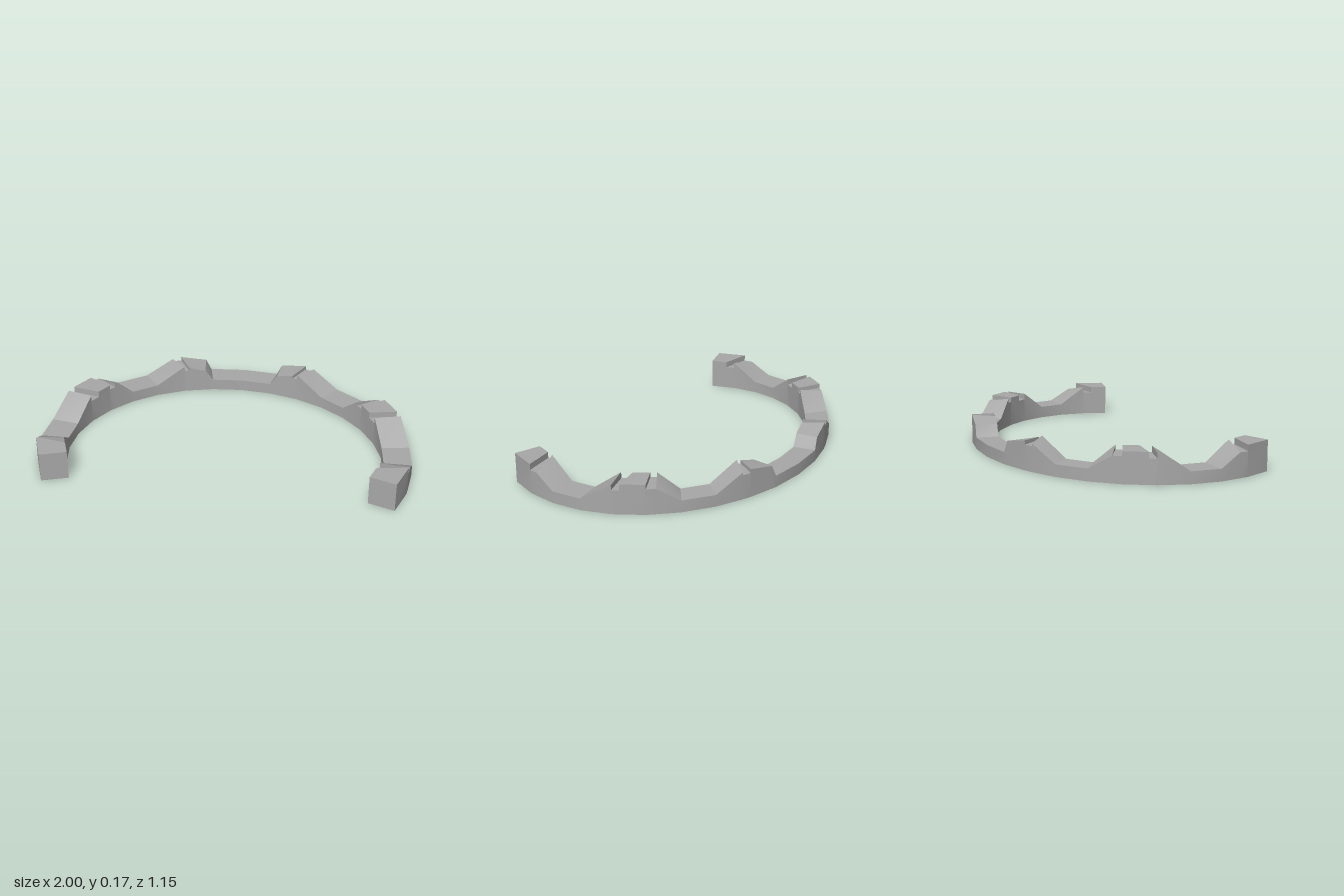
import * as THREE from 'three';
import { toCreasedNormals } from 'three/addons/utils/BufferGeometryUtils.js';

const STEP = 11.25;            // 32-sided ellipse
const CENTRE_Z = 0.258;
const OUTER = [1, 0.835], INNER = [0.85, 0.715];

// Point on the faceted ellipse at a given angle in degrees
function ringPoint([a, b], deg, y) {
  const k = Math.floor(deg / STEP + 1e-6);
  const f = deg / STEP - k;
  const at = (n) => {
    const t = THREE.MathUtils.degToRad(n * STEP);
    return new THREE.Vector3(a * Math.cos(t), y, CENTRE_Z - b * Math.sin(t));
  };
  return at(k).lerp(at(k + 1), f);
}

// Top surface of the left half, front to back: inner angle, inner height, outer angle, outer height
const half = [
  // front end block and its notch
  [-22.5, 0.165, -22.5, 0.165],
  [-15.4, 0.165, -11.4, 0.165],
  [-15.4, 0.132, -11.4, 0.132],
  [-11.7, 0.132, -7.9, 0.132],
  [-11.7, 0.165, -7.9, 0.132],
  // first dip
  [0, 0.065, 0, 0.065],
  [11.25, 0.065, 11.25, 0.065],
  // side block with a notch at each edge
  [22.5, 0.165, 22.5, 0.16],
  [22.5, 0.132, 22.5, 0.132],
  [27, 0.132, 25.2, 0.132],
  [27, 0.165, 25.2, 0.165],
  [33.75, 0.165, 33.75, 0.165],
  [33.75, 0.14, 33.75, 0.14],
  [36.3, 0.14, 37, 0.14],
  [36.3, 0.165, 37, 0.14],
  // second dip
  [45, 0.065, 45, 0.065],
  [56.25, 0.065, 56.25, 0.065],
  // back block with a notch
  [67.5, 0.163, 65.5, 0.15],
  [67.5, 0.135, 65.5, 0.135],
  [69.3, 0.135, 68.5, 0.135],
  [69.3, 0.152, 68.5, 0.157],
  [75.7, 0.128, 77, 0.13],
  // back dip
  [78.75, 0.065, 78.75, 0.065],
];

function bandGeometry() {
  const mirrored = half.map(([i, hi, o, ho]) => [180 - i, hi, 180 - o, ho]).reverse();
  const rows = [...half, [90, 0.065, 90, 0.065], ...mirrored];
  const sections = rows.map(([ti, hi, to, ho]) => ({
    i: ringPoint(INNER, ti, hi), ib: ringPoint(INNER, ti, 0),
    o: ringPoint(OUTER, to, ho), ob: ringPoint(OUTER, to, 0),
  }));
  const positions = [];
  const tri = (a, b, c) => {
    const area = b.clone().sub(a).cross(c.clone().sub(a)).length();
    if (area > 1e-7) for (const p of [a, b, c]) positions.push(p.x, p.y, p.z);
  };
  const quad = (a, b, c, d) => { tri(a, b, c); tri(a, c, d); };

  for (let n = 0; n < sections.length - 1; n++) {
    const s = sections[n], e = sections[n + 1];
    quad(s.i, s.o, e.o, e.i);         // top
    quad(s.ob, e.ob, e.o, s.o);       // outer wall
    quad(s.ib, s.i, e.i, e.ib);       // inner wall
    quad(s.ib, e.ib, e.ob, s.ob);     // underside
  }
  // end caps
  const first = sections[0], last = sections[sections.length - 1];
  quad(first.ib, first.ob, first.o, first.i);
  quad(last.ib, last.i, last.o, last.ob);

  const geometry = new THREE.BufferGeometry();
  geometry.setAttribute('position', new THREE.Float32BufferAttribute(positions, 3));
  return toCreasedNormals(geometry, 0.5);
}

export function createModel() {
  const group = new THREE.Group();
  group.name = 'notchedOpenRing';
  const grey = new THREE.MeshStandardMaterial({ color: 0xa8a8a8 });
  grey.name = 'plain grey';
  const band = new THREE.Mesh(bandGeometry(), grey);
  band.name = 'notchedBand';
  group.add(band);
  return group;
}
